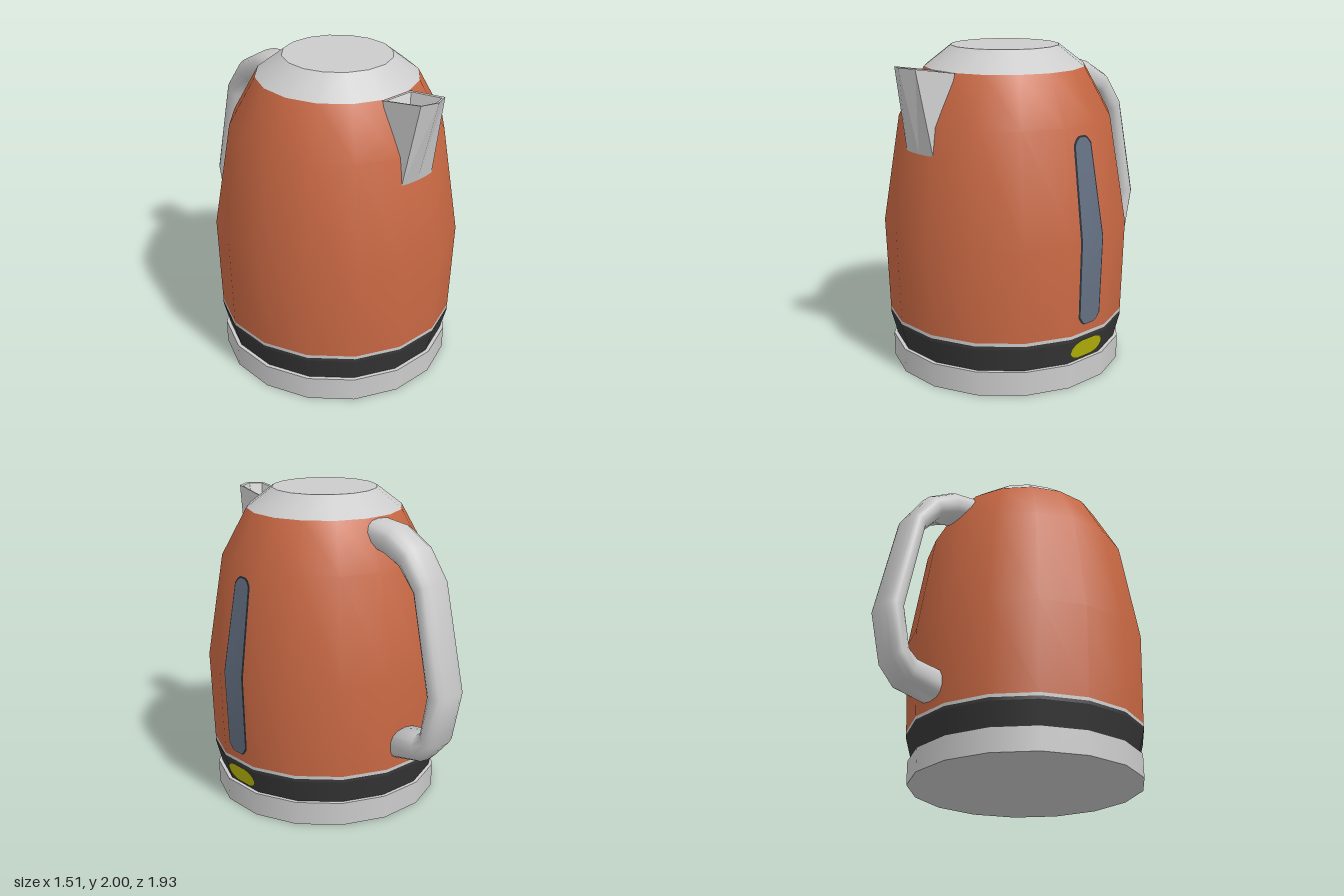
import * as THREE from 'three';

const SIDES = 16, TURN = Math.PI / SIDES, CZ = 0.165; // body axis sits forward of the centre
const K = 1 / Math.cos(TURN);                          // flat-to-flat radius -> corner radius
const BODY = [[0.34, 0.735], [0.92, 0.752], [1.58, 0.645], [1.875, 0.487]]; // [y, radius]

const mat = (color, extra = {}) => new THREE.MeshStandardMaterial({ color, ...extra });
const GREY = 0xcccccc;

function mesh(name, geometry, material) {
  const m = new THREE.Mesh(geometry, material);
  m.name = name;
  return m;
}

// Sixteen-sided drum standing on the body axis
function drum(name, y0, y1, r0, r1, color) {
  const g = new THREE.CylinderGeometry(r1 * K, r0 * K, y1 - y0, SIDES, 1, false, TURN);
  g.translate(0, (y0 + y1) / 2, CZ);
  return mesh(name, g, mat(color));
}

// Skin over a list of rings; optional wrap-around and fan on the last ring
function loft(rings, wrap, capEnd = false) {
  const n = rings[0].length, index = [];
  for (let i = 0; i < rings.length - 1; i++) {
    for (let j = 0; j < (wrap ? n : n - 1); j++) {
      const k = (j + 1) % n, a = i * n + j, b = i * n + k;
      index.push(a, b, b + n, a, b + n, a + n);
    }
  }
  const last = (rings.length - 1) * n;
  if (capEnd) for (let j = 1; j < n - 1; j++) index.push(last, last + j, last + j + 1);
  const g = new THREE.BufferGeometry();
  g.setAttribute('position', new THREE.Float32BufferAttribute(rings.flat(2), 3));
  g.setIndex(index);
  g.computeVertexNormals();
  return g;
}

// Radius of a profile at height y
function radiusAt(profile, y) {
  let i = 0;
  while (i < profile.length - 2 && y > profile[i + 1][0]) i++;
  const [y0, r0] = profile[i], [y1, r1] = profile[i + 1];
  return r0 + (r1 - r0) * (y - y0) / (y1 - y0);
}

// Thin panel following the left flank; rows are [y, half width]
function panel(name, rows, profile, lift, color) {
  const rings = rows.map(([y, w]) => {
    const x = radiusAt(profile, y) + lift;
    return [[x, y, CZ + w], [x, y, CZ - w]];
  });
  return mesh(name, loft(rings, false), mat(color, { side: THREE.DoubleSide }));
}

function handle() {
  // [outer z, outer y, inner z, inner y] along the grip
  const stations = [
    [-0.26, 1.85, -0.34, 1.70], [-0.33, 1.868, -0.42, 1.68], [-0.50, 1.85, -0.47, 1.665],
    [-0.675, 1.75, -0.58, 1.62], [-0.81, 1.56, -0.70, 1.49], [-0.965, 0.90, -0.825, 0.89],
    [-0.89, 0.565, -0.78, 0.65], [-0.775, 0.435, -0.73, 0.61], [-0.50, 0.375, -0.50, 0.575],
  ];
  const N = 14, round = (v) => Math.sign(v) * Math.abs(v) ** 0.8;
  const rings = stations.map(([oz, oy, iz, iy]) => Array.from({ length: N }, (_, j) => {
    const a = (j / N) * Math.PI * 2, c = round(Math.cos(a)) / 2;
    return [0.125 * round(Math.sin(a)), (oy + iy) / 2 + (oy - iy) * c, (oz + iz) / 2 + (oz - iz) * c];
  }));
  return mesh('handle', loft(rings, true, true), mat(GREY));
}

function spout() {
  // Each ring: back corner, front corner, front middle, mirrored to the other side
  const ring = (back, front, mid) => {
    const flip = ([x, y, z]) => [-x, y, z];
    return [flip(back), flip(front), mid, front, back];
  };
  const rings = [
    ring([0.125, 1.41, 0.8], [0.125, 1.41, 0.835], [0, 1.41, 0.842]),     // foot
    ring([0.115, 1.875, 0.655], [0.098, 1.92, 0.925], [0, 1.925, 0.967]), // outer lip
    ring([0.1, 1.875, 0.67], [0.082, 1.915, 0.915], [0, 1.92, 0.948]),    // inner lip
    ring([0.025, 1.74, 0.735], [0.025, 1.56, 0.845], [0, 1.56, 0.85]),    // channel floor
  ];
  const g = loft(rings, true, true).toNonIndexed();
  g.computeVertexNormals();
  return mesh('spout', g, mat(GREY, { flatShading: true, side: THREE.DoubleSide }));
}

export function createModel() {
  const group = new THREE.Group();
  group.name = 'kettle';

  // Base, dark band, trim, lid
  const bandProfile = [[0.15, 0.697], [0.3, 0.735], [0.32, 0.735]];
  group.add(drum('base', 0, 0.15, 0.72, 0.72, GREY));
  group.add(drum('bandLower', 0.15, 0.3, 0.697, 0.735, 0x383838));
  group.add(drum('bandUpper', 0.3, 0.32, 0.735, 0.735, 0x383838));
  group.add(drum('trimRing', 0.32, 0.34, 0.735, 0.735, GREY));
  group.add(drum('lid', 1.875, 2, 0.487, 0.328, GREY));

  // Body shell
  const shell = new THREE.LatheGeometry(BODY.map(([y, r]) => new THREE.Vector2(r * K, y)), SIDES, TURN);
  shell.translate(0, 0, CZ);
  group.add(mesh('body', shell, mat(0xc86843, { side: THREE.DoubleSide })));

  group.add(spout(), handle());

  // Water gauge on the left flank: dark frame with a glass strip
  const frame = [[0.39, 0.045], [0.405, 0.066], [0.44, 0.091], [0.92, 0.095], [1.48, 0.073], [1.512, 0.048], [1.525, 0.025]];
  const glass = [[0.397, 0.04], [0.412, 0.058], [0.445, 0.079], [0.92, 0.083], [1.472, 0.061], [1.502, 0.041], [1.515, 0.02]];
  group.add(panel('gaugeFrame', frame, BODY, 0.004, 0x2b3138));
  group.add(panel('gaugeGlass', glass, BODY, 0.008, 0x647082));

  // Indicator light on the band
  const light = [[0.167, 0.06], [0.18, 0.1], [0.205, 0.125], [0.23, 0.132], [0.255, 0.125], [0.28, 0.1], [0.292, 0.06]];
  group.add(panel('indicatorLight', light, bandProfile, 0.006, 0xbcba08));

  return group;
}
